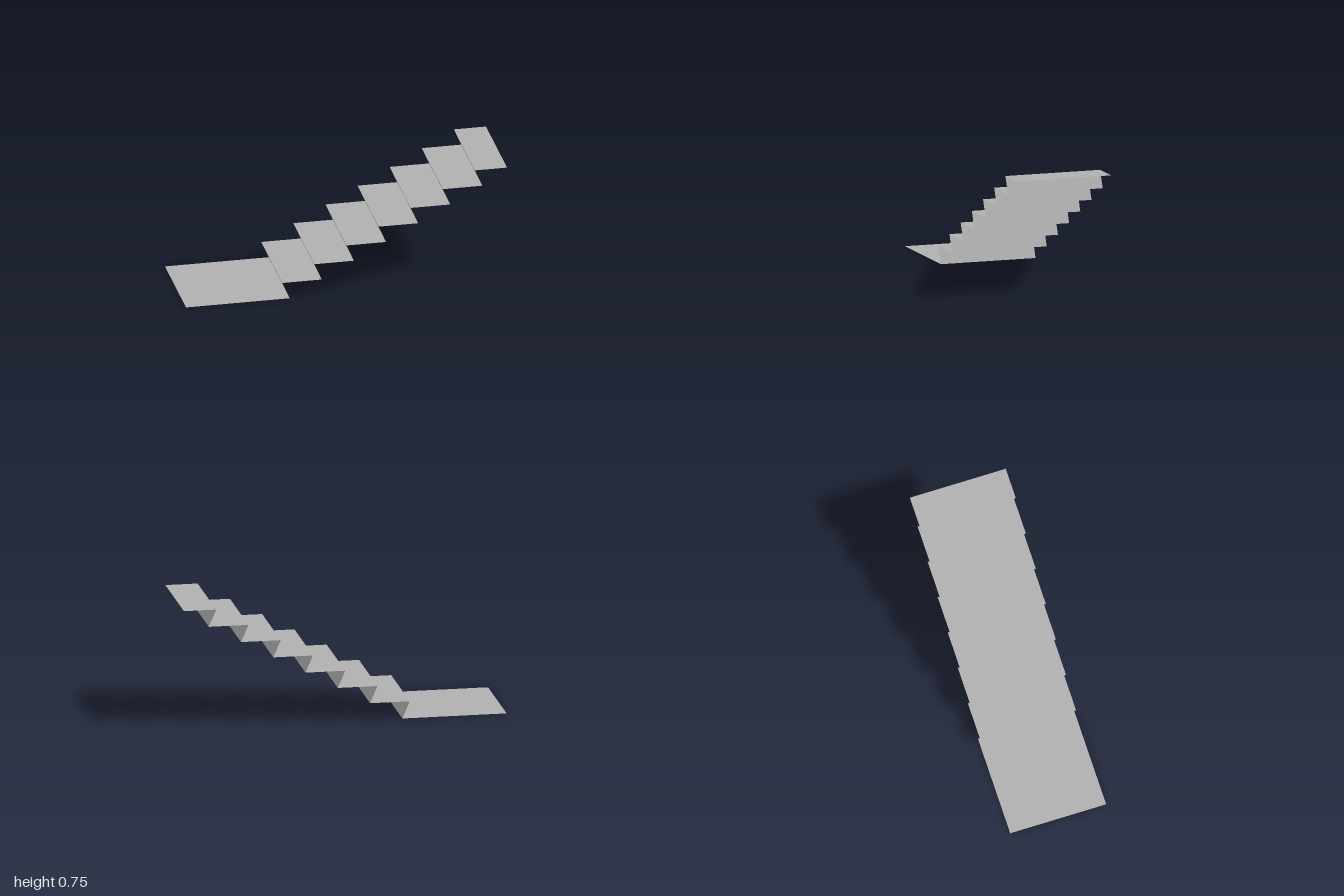
import * as THREE from 'three';

const STEPS = 7;
const RISE = 0.746 / STEPS;
const GOING = 0.2;
const NOSING = 0.046; // how far each riser leans back under its tread
const WIDTH = 0.614;

// Thin sheet spanning the stair width between two profile points
function sheet(name, x0, y0, x1, y1, material) {
  const length = Math.hypot(x1 - x0, y1 - y0);
  const geometry = new THREE.PlaneGeometry(length, WIDTH);
  geometry.rotateX(-Math.PI / 2);
  const mesh = new THREE.Mesh(geometry, material);
  mesh.rotation.z = Math.atan2(y1 - y0, x1 - x0);
  mesh.position.set((x0 + x1) / 2, (y0 + y1) / 2, 0);
  mesh.name = name;
  return mesh;
}

export function createModel() {
  const group = new THREE.Group();
  group.name = 'staircase';
  const grey = new THREE.MeshStandardMaterial({ color: 0xb0b0b0, side: THREE.DoubleSide });
  grey.name = 'grey';

  // Floor landing in front of the first riser
  const firstNose = -0.4;
  group.add(sheet('landing', -1, 0, firstNose + NOSING, 0, grey));

  // Leaning risers and overlapping treads
  for (let i = 0; i < STEPS; i++) {
    const nose = firstNose + i * GOING;
    const y = i * RISE;
    const treadEnd = i === STEPS - 1 ? 1 : nose + GOING + NOSING;
    group.add(sheet(`riser${i + 1}`, nose + NOSING, y, nose, y + RISE, grey));
    group.add(sheet(`tread${i + 1}`, nose, y + RISE, treadEnd, y + RISE, grey));
  }
  return group;
}
